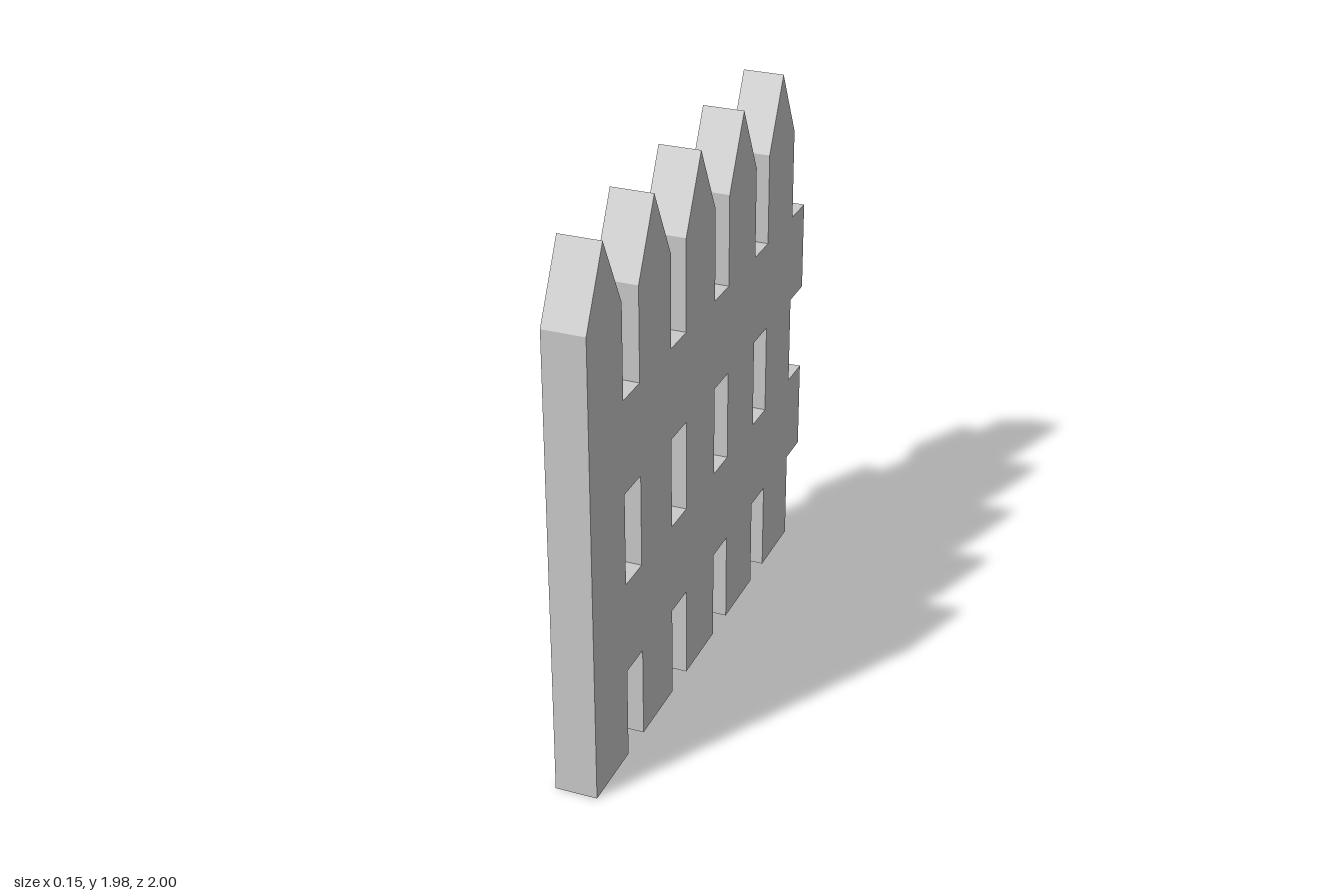
import * as THREE from 'three';

const COUNT = 5, PITCH = 0.4, WIDTH = 0.267, THICK = 0.152;
const SHOULDER = 1.715, TIP = 1.975;
const LOW = [0.343, 0.686], HIGH = [1.03, 1.372]; // bottom and top of each rail

export function createModel() {
  const group = new THREE.Group();
  group.name = 'picketFence';
  const left = (i) => -1 + i * PITCH;
  const right = (i) => left(i) + WIDTH;
  const pts = [];

  // Feet of the pickets, with notches up to the lower rail
  for (let i = 0; i < COUNT; i++) {
    pts.push([left(i), 0], [right(i), 0], [right(i), LOW[0]]);
    if (i < COUNT - 1) pts.push([left(i + 1), LOW[0]]);
  }

  // Rail ends that stick out past the last picket
  const end = right(COUNT - 1);
  pts.push([1, LOW[0]], [1, LOW[1]], [end, LOW[1]]);
  pts.push([end, HIGH[0]], [1, HIGH[0]], [1, HIGH[1]]);

  // Pointed tops, with notches down to the upper rail
  for (let i = COUNT - 1; i >= 0; i--) {
    if (i < COUNT - 1) pts.push([left(i + 1), HIGH[1]]);
    pts.push([right(i), HIGH[1]], [right(i), SHOULDER]);
    pts.push([left(i) + WIDTH / 2, TIP], [left(i), SHOULDER]);
  }
  const shape = new THREE.Shape(pts.map(([u, y]) => new THREE.Vector2(u, y)));

  // Openings between the two rails
  for (let i = 0; i < COUNT - 1; i++) {
    const a = right(i), b = left(i + 1);
    shape.holes.push(new THREE.Path([
      new THREE.Vector2(a, LOW[1]), new THREE.Vector2(a, HIGH[0]),
      new THREE.Vector2(b, HIGH[0]), new THREE.Vector2(b, LOW[1]),
    ]));
  }

  // Flush pickets and rails as one panel, turned to run along z
  const geometry = new THREE.ExtrudeGeometry(shape, { depth: THICK, bevelEnabled: false });
  geometry.translate(0, 0, -THICK / 2).rotateY(Math.PI / 2);
  const material = new THREE.MeshStandardMaterial({ color: 0xcccccc, flatShading: true });
  const panel = new THREE.Mesh(geometry, material);
  panel.name = 'fencePanel';
  group.add(panel);
  return group;
}
